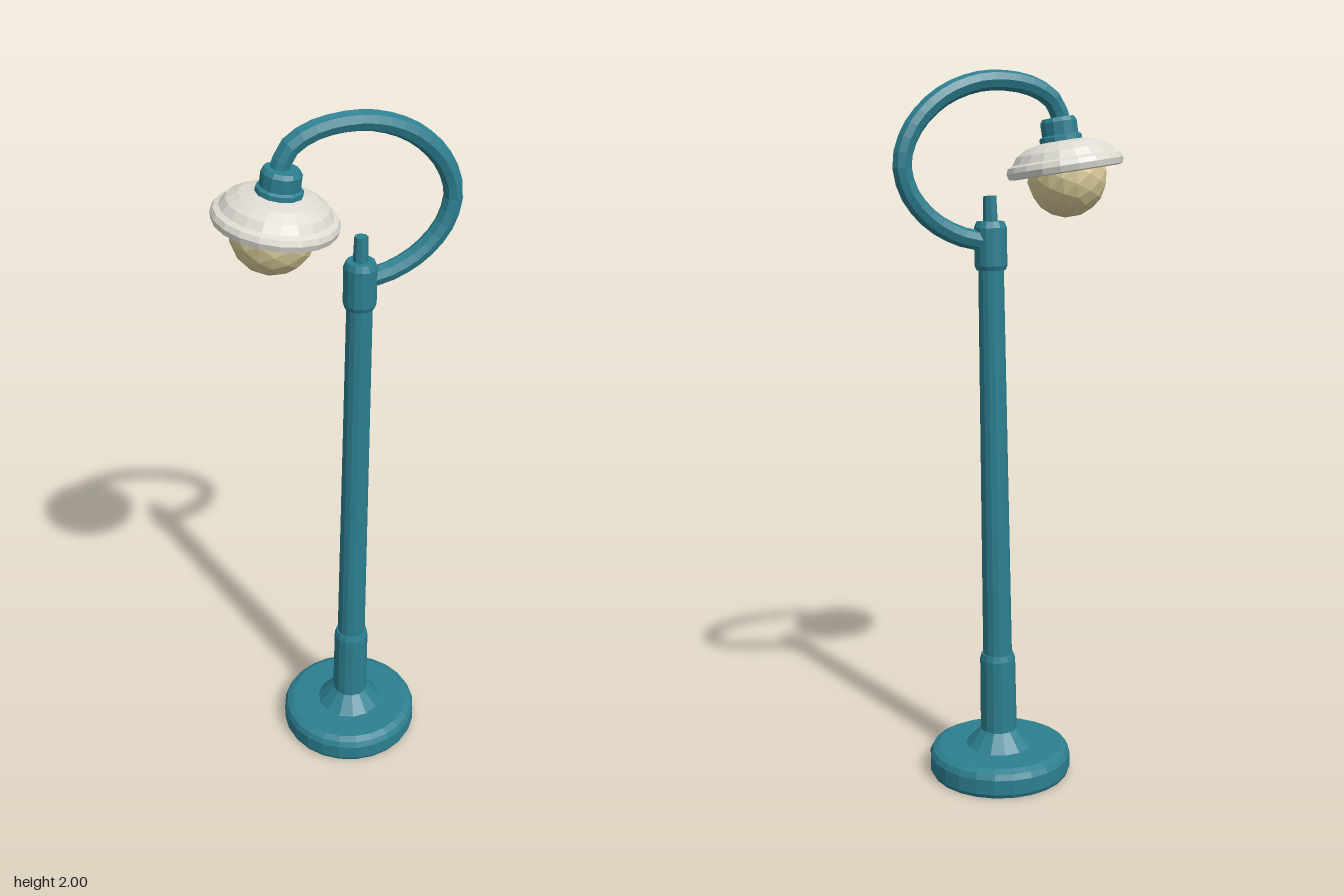
import * as THREE from 'three';

export function createModel() {
  const paint = (name, color) => {
    const m = new THREE.MeshStandardMaterial({ color, flatShading: true });
    m.name = name;
    return m;
  };
  const teal = paint('teal paint', 0x2c7f90);
  const enamel = paint('white enamel', 0xdcdad2);
  const glass = paint('warm glass', 0xd8cb98);

  const add = (parent, name, geometry, material) => {
    const mesh = new THREE.Mesh(geometry, material);
    mesh.name = name;
    parent.add(mesh);
    return mesh;
  };
  // Profiles run from the bottom up as [radius, height]
  const lathe = (points, sides) =>
    new THREE.LatheGeometry(points.map(([r, y]) => new THREE.Vector2(r, y)), sides);

  const model = new THREE.Group();
  model.name = 'streetLamp';

  // Round foot
  const foot = add(model, 'foot', lathe([
    [0, 0], [0.2, 0], [0.206, 0.012], [0.206, 0.055], [0.198, 0.071], [0.18, 0.08], [0, 0.084],
  ], 24), teal);
  foot.position.x = 0.027;

  // Slightly leaning post
  const post = new THREE.Group();
  post.name = 'post';
  post.position.set(0.028, 0, 0);
  post.rotation.set(-0.005, 0, -0.0155);
  model.add(post);
  add(post, 'flare', lathe([[0.11, 0.07], [0.095, 0.085], [0.054, 0.13], [0, 0.13]], 14), teal);
  add(post, 'lowerSleeve', lathe([
    [0.053, 0.12], [0.051, 0.345], [0.046, 0.362], [0, 0.362],
  ], 14), teal);
  add(post, 'shaft', new THREE.CylinderGeometry(0.035, 0.042, 1.16, 14).translate(0, 0.92, 0), teal);
  add(post, 'upperSleeve', lathe([
    [0, 1.47], [0.04, 1.47], [0.045, 1.482], [0.045, 1.585], [0.038, 1.602], [0, 1.602],
  ], 14), teal);
  add(post, 'pin', new THREE.CylinderGeometry(0.018, 0.021, 0.08, 8).translate(0, 1.63, 0), teal);

  // Curled arm, lying in one slanted upright plane
  const path = new THREE.CatmullRomCurve3([
    [0.06, 1.548], [0.13, 1.56], [0.215, 1.603], [0.278, 1.675], [0.298, 1.76],
    [0.265, 1.85], [0.19, 1.925], [0.1, 1.965], [0.02, 1.974], [-0.07, 1.96],
    [-0.132, 1.922], [-0.158, 1.86],
  ].map(([x, y]) => new THREE.Vector3(x, y, 0.002 - 0.222 * x)));
  add(model, 'arm', new THREE.TubeGeometry(path, 26, 0.027, 8, false), teal);

  // Tilted lamp head
  const head = new THREE.Group();
  head.name = 'lampHead';
  head.position.set(-0.167, 1.745, 0.04);
  head.rotation.set(0.03, 0, -0.15);
  model.add(head);
  add(head, 'socket', lathe([
    [0, 0.06], [0.062, 0.06], [0.06, 0.085], [0.052, 0.09], [0.052, 0.125], [0.045, 0.136], [0, 0.136],
  ], 12), teal);
  // Shade with a rolled rim and a hollow underside
  add(head, 'shade', lathe([
    [0, 0.045], [0.09, 0.035], [0.135, 0.004], [0.15, -0.013], [0.16, -0.01], [0.164, 0.006],
    [0.158, 0.02], [0.144, 0.026], [0.13, 0.047], [0.1, 0.064], [0.055, 0.074], [0, 0.076],
  ], 20), enamel);
  const bulb = add(head, 'globe', new THREE.IcosahedronGeometry(0.111, 2), glass);
  bulb.position.set(-0.004, -0.026, 0.008);

  return model;
}
